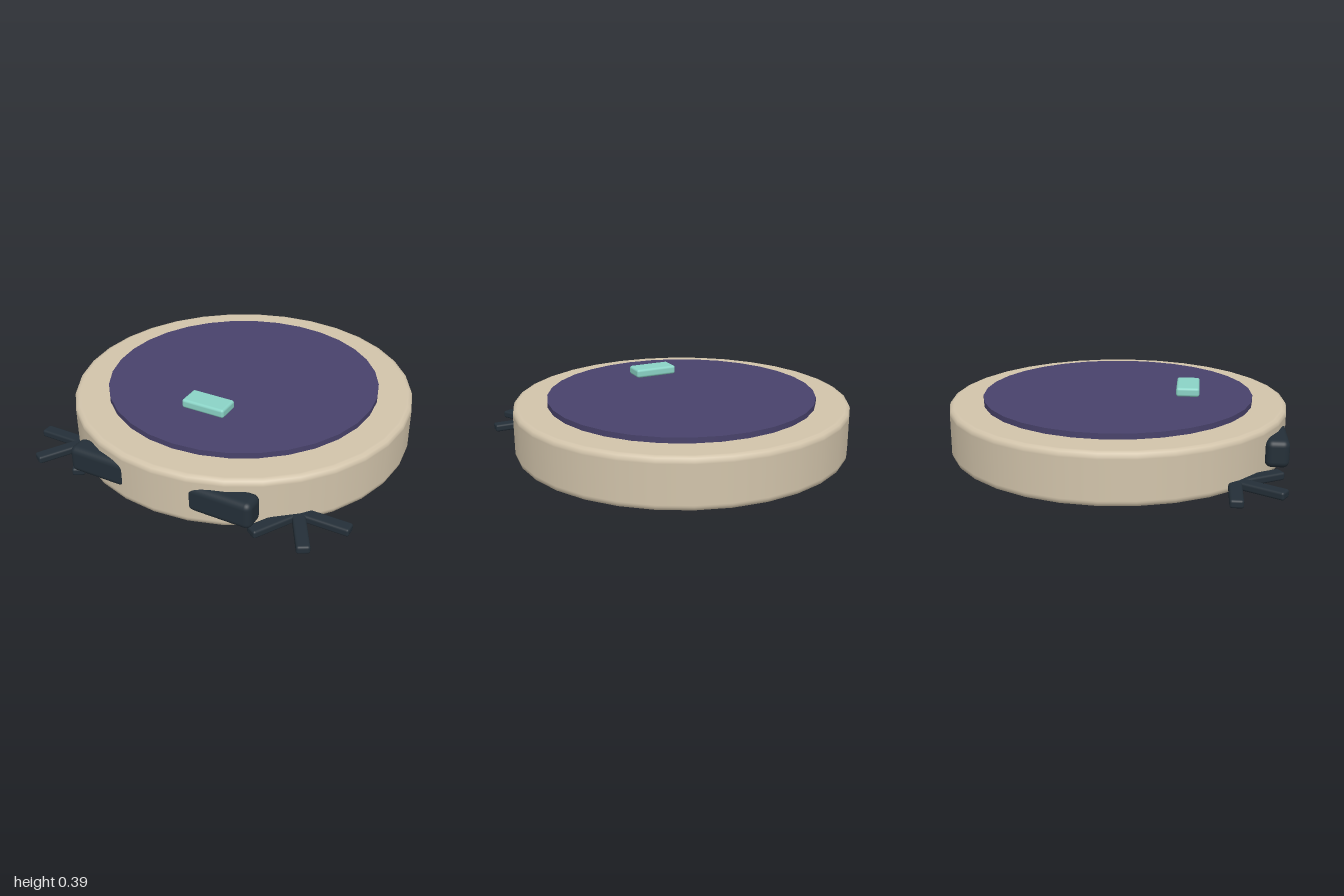
import * as THREE from 'three';
import { RoundedBoxGeometry } from 'three/addons/geometries/RoundedBoxGeometry.js';

const material = (name, color) => {
  const m = new THREE.MeshStandardMaterial({ color });
  m.name = name;
  return m;
};

export function createModel() {
  const shell = material('warm beige', 0xd2c4ab);
  const violet = material('deep violet', 0x48426b);
  const mint = material('mint', 0x8ad3c6);
  const dark = material('dark slate', 0x242f38);

  const model = new THREE.Group();
  model.name = 'robotVacuum';
  const add = (parent, name, geometry, mat, x = 0, y = 0, z = 0) => {
    const mesh = new THREE.Mesh(geometry, mat);
    mesh.name = name;
    mesh.position.set(x, y, z);
    parent.add(mesh);
    return mesh;
  };

  // Round body: close point pairs keep the caps flat beside the soft rims
  const profile = [
    [0, 0], [0.965, 0], [0.975, 0], [0.993, 0.007], [1, 0.025], [1, 0.035],
    [1, 0.255], [1, 0.265], [0.993, 0.283], [0.975, 0.29], [0.965, 0.29], [0, 0.29],
  ].map(([r, y]) => new THREE.Vector2(r, y));
  add(model, 'body', new THREE.LatheGeometry(profile, 32), shell);

  // Top panel and the button hovering over it
  add(model, 'topPanel', new THREE.CylinderGeometry(0.8, 0.8, 0.04, 32), violet, 0, 0.302, 0);
  add(model, 'button', new RoundedBoxGeometry(0.265, 0.053, 0.135, 3, 0.015), mint, 0, 0.362, 0.42);

  // Straight bumper bar whose ends break through the round front
  add(model, 'bumper', new RoundedBoxGeometry(1.11, 0.155, 0.13, 4, 0.036), dark, 0, 0.148, 0.912);

  // Side brushes: three crossed bars each
  for (const side of [1, -1]) {
    const brush = new THREE.Group();
    brush.name = side > 0 ? 'leftBrush' : 'rightBrush';
    brush.position.set(side * 0.685, 0.037, 0.684);
    for (let i = 0; i < 3; i++) {
      const bar = add(brush, 'brushBar', new RoundedBoxGeometry(0.586, 0.045, 0.072, 2, 0.013), dark);
      bar.rotation.y = (i * Math.PI) / 3;
    }
    model.add(brush);
  }
  return model;
}
